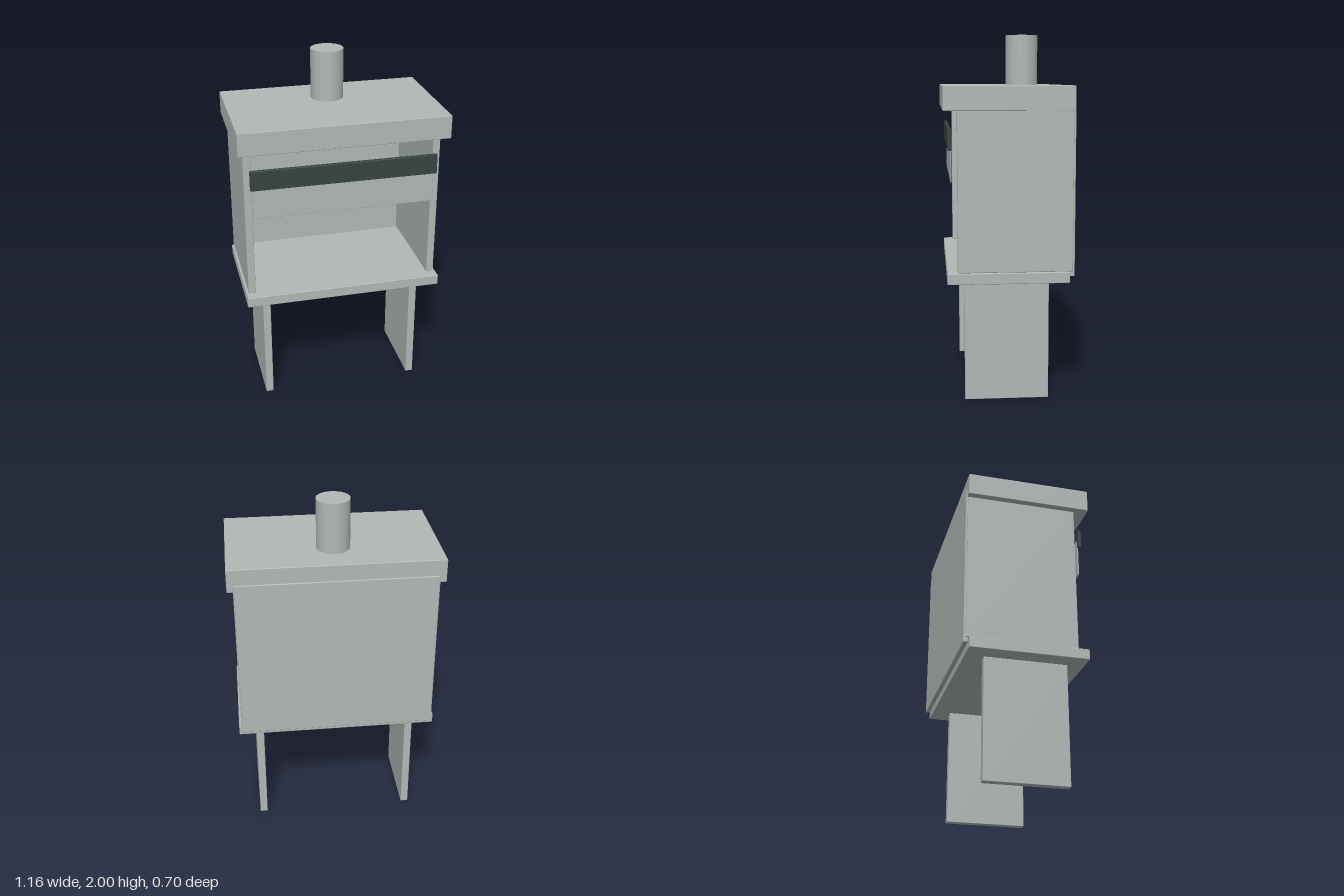
import * as THREE from 'three';
import { RoundedBoxGeometry } from 'three/addons/geometries/RoundedBoxGeometry.js';

export function createModel() {
  const group = new THREE.Group();
  group.name = 'stove';

  const sheetMetal = new THREE.MeshStandardMaterial({ color: 0xb0b8b6 });
  sheetMetal.name = 'pale grey metal';
  const darkMetal = new THREE.MeshStandardMaterial({ color: 0x364342 });
  darkMetal.name = 'dark grey metal';

  // Softly edged panel given by its extents on each axis
  function panel(name, [x0, x1], [y0, y1], [z0, z1], material = sheetMetal) {
    const size = [x1 - x0, y1 - y0, z1 - z0];
    const radius = Math.min(0.004, Math.min(...size) * 0.3);
    const mesh = new THREE.Mesh(new RoundedBoxGeometry(...size, 1, radius), material);
    mesh.position.set((x0 + x1) / 2, (y0 + y1) / 2, (z0 + z1) / 2);
    mesh.name = name;
    group.add(mesh);
  }

  // Cabinet: overhanging lid, base shelf and back sheet
  panel('lid', [-0.58, 0.58], [1.59, 1.72], [-0.343, 0.351]);
  panel('baseShelf', [-0.56, 0.56], [0.67, 0.73], [-0.323, 0.332]);
  panel('backPanel', [-0.542, 0.542], [0.703, 1.63], [-0.351, -0.325]);

  // Mirrored side walls and slab legs
  for (const [side, s] of [['left', 1], ['right', -1]]) {
    const span = (a, b) => (s > 0 ? [a, b] : [-b, -a]);
    panel(side + 'Wall', span(0.505, 0.547), [0.73, 1.59], [-0.34, 0.276]);
    panel(side + 'Leg', span(0.418, 0.462), [0, 0.67], [-0.223, 0.238]);
  }

  // Hood strip floating before the opening, with a thin shield behind it
  panel('hoodBar', [-0.518, 0.518], [1.38, 1.493], [0.305, 0.326], darkMetal);
  panel('heatShield', [-0.503, 0.503], [1.21, 1.43], [0.304, 0.311]);

  // Flue pipe
  const flue = new THREE.Mesh(new THREE.CylinderGeometry(0.092, 0.092, 0.28, 32), sheetMetal);
  flue.position.set(0, 1.86, -0.115);
  flue.name = 'fluePipe';
  group.add(flue);

  return group;
}
